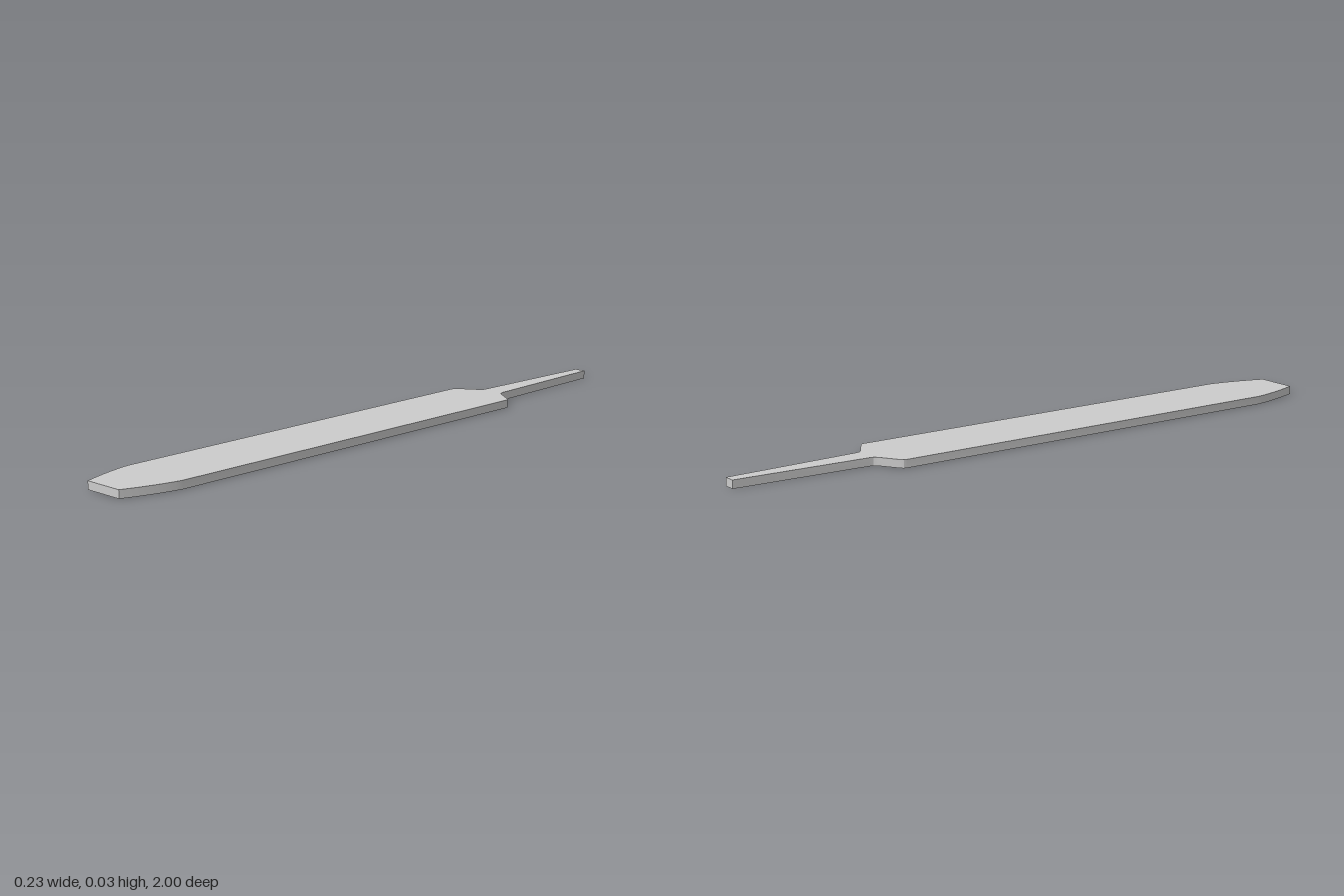
import * as THREE from 'three';
import { toCreasedNormals } from 'three/addons/utils/BufferGeometryUtils.js';

const THICKNESS = 0.025;

// Half outline as [half width, z], from the tang end to the blunt tip
function halfOutline() {
  const tip = new THREE.QuadraticBezierCurve(
    new THREE.Vector2(0.113, 0.82),
    new THREE.Vector2(0.102, 0.9),
    new THREE.Vector2(0.065, 1)
  ).getPoints(8);
  const tang = [[0.018, -1], [0.035, -0.575], [0.037, -0.562], [0.045, -0.553]];
  const shoulder = [[0.104, -0.515], [0.111, -0.508], [0.113, -0.498]];
  return [...tang, ...shoulder].map(([x, z]) => new THREE.Vector2(x, z)).concat(tip);
}

export function createModel() {
  const group = new THREE.Group();
  group.name = 'flatBlade';

  // Mirror the half outline and extrude it into a flat bar
  const right = halfOutline();
  const left = right.map((p) => new THREE.Vector2(-p.x, p.y)).reverse();
  const extruded = new THREE.ExtrudeGeometry(new THREE.Shape([...right, ...left]), {
    depth: THICKNESS,
    bevelEnabled: false,
  });

  // Lay it down so the outline runs along z and the bar rests on the ground
  extruded.rotateX(Math.PI / 2).translate(0, THICKNESS, 0);

  const blade = new THREE.Mesh(
    toCreasedNormals(extruded, 0.5),
    new THREE.MeshStandardMaterial({ color: 0xcccccc })
  );
  blade.name = 'bladeAndTang';
  group.add(blade);
  return group;
}
